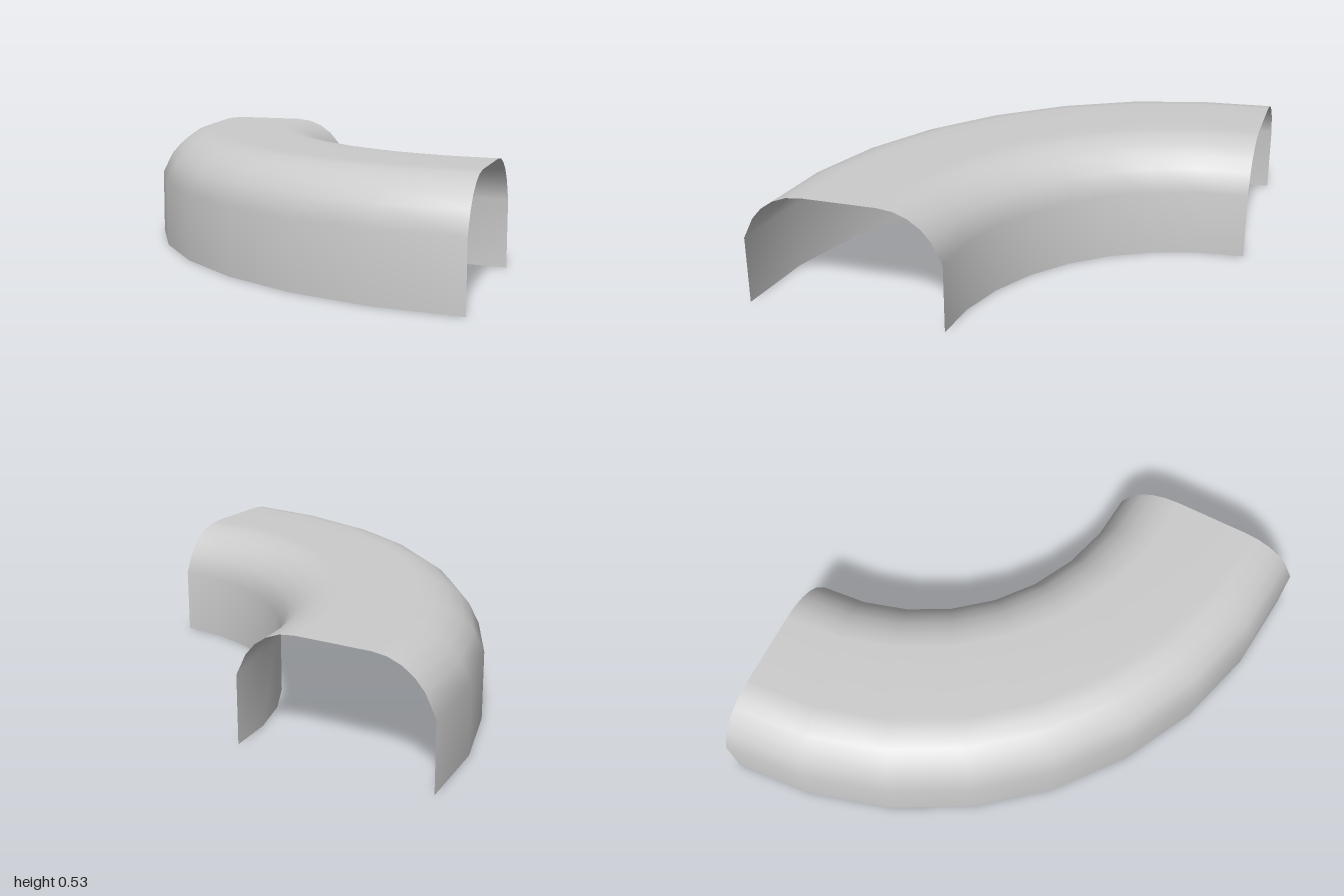
import * as THREE from 'three';

export function createModel() {
  const group = new THREE.Group();
  group.name = 'curvedChannel';

  const inner = 1.09, outer = 2, arc = 0.28, height = 0.53;

  // Half of the arched section: inset from the wall, and height
  const half = [[0, 0], [0, 0.31]];
  for (const deg of [34, 48, 62, 76, 90]) {
    const a = THREE.MathUtils.degToRad(deg);
    half.push([arc * (1 - Math.cos(a)), height - arc * (1 - Math.sin(a))]);
  }

  // Full section: up the outer wall, across the top, down the inner wall
  const section = [
    ...half.map(([d, y]) => new THREE.Vector2(outer - d, y)),
    ...half.slice().reverse().map(([d, y]) => new THREE.Vector2(inner + d, y)),
  ];

  // Quarter-turn sweep, open at the bottom and at both ends
  const shell = new THREE.Mesh(
    new THREE.LatheGeometry(section, 8, -Math.PI / 2, Math.PI / 2),
    new THREE.MeshStandardMaterial({ color: 0xcccccc, side: THREE.DoubleSide })
  );
  shell.name = 'channelShell';
  shell.position.set(1, 0, -1);
  group.add(shell);

  return group;
}
